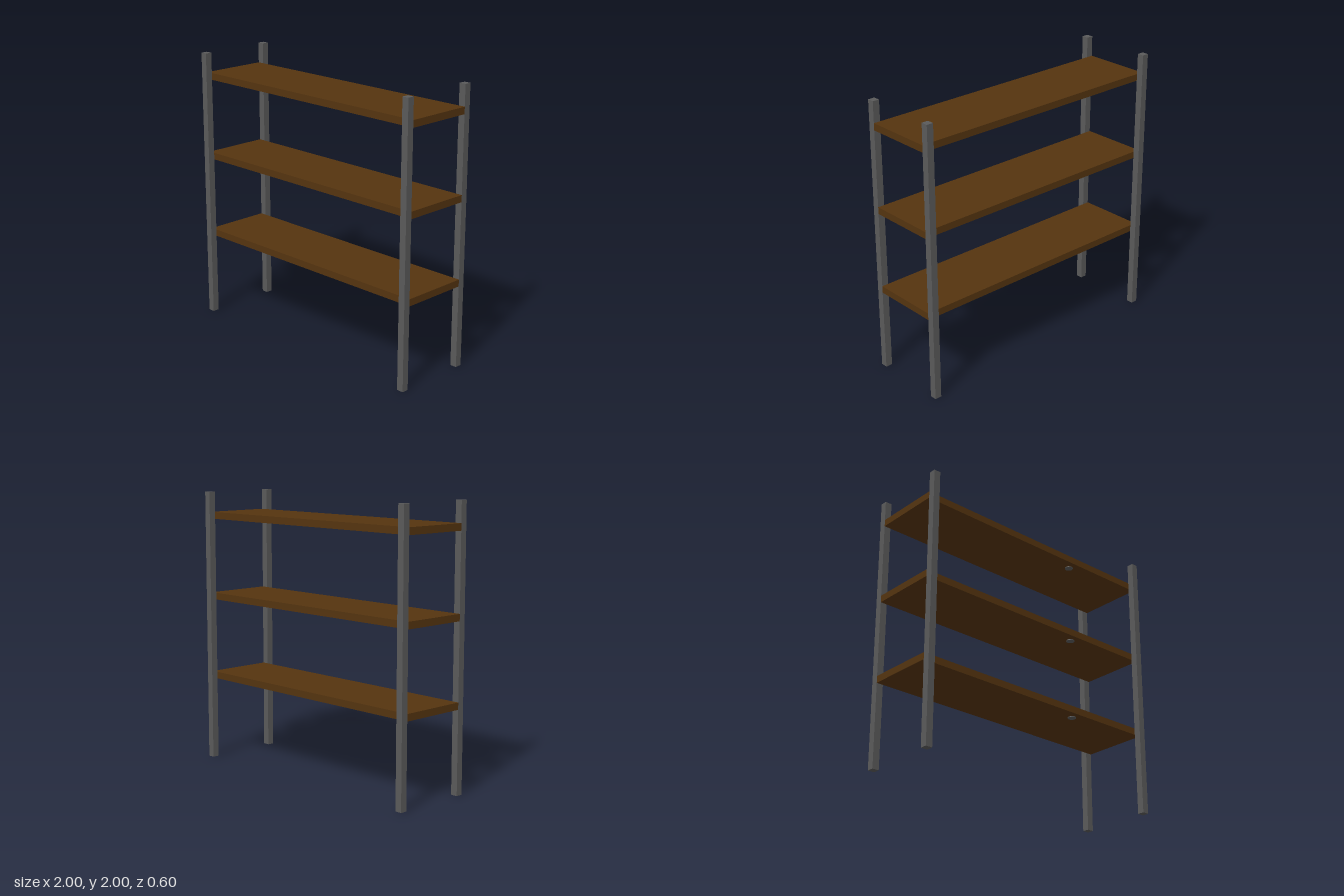
import * as THREE from 'three';

export function createModel() {
  const model = new THREE.Group();
  model.name = 'shelvingUnit';

  const wood = new THREE.MeshStandardMaterial({ color: 0x55340f });
  wood.name = 'dark brown wood';
  const metal = new THREE.MeshStandardMaterial({ color: 0x5a5a5a });
  metal.name = 'grey metal';

  const add = (name, geometry, material, x, y, z) => {
    const mesh = new THREE.Mesh(geometry, material);
    mesh.name = name;
    mesh.position.set(x, y, z);
    model.add(mesh);
  };

  // Four corner posts, just outside the front and back shelf edges
  const postSize = 0.05;
  const postGeometry = new THREE.BoxGeometry(postSize, 2, postSize);
  for (const [side, sx] of [['Left', 1], ['Right', -1]]) {
    for (const [end, sz] of [['front', 1], ['back', -1]]) {
      add(`${end}${side}Post`, postGeometry, metal, sx * 0.975, 1, sz * 0.275);
    }
  }

  // Three boards, each with a small flat stud on its underside
  const boardGeometry = new THREE.BoxGeometry(2, 0.05, 0.5);
  const studGeometry = new THREE.CylinderGeometry(0.03, 0.03, 0.006, 16);
  ['lower', 'middle', 'upper'].forEach((level, i) => {
    const bottom = 0.6 + i * 0.6;
    add(`${level}Shelf`, boardGeometry, wood, 0, bottom + 0.025, 0);
    add(`${level}ShelfStud`, studGeometry, metal, 0.38, bottom - 0.002, 0.18);
  });

  return model;
}
